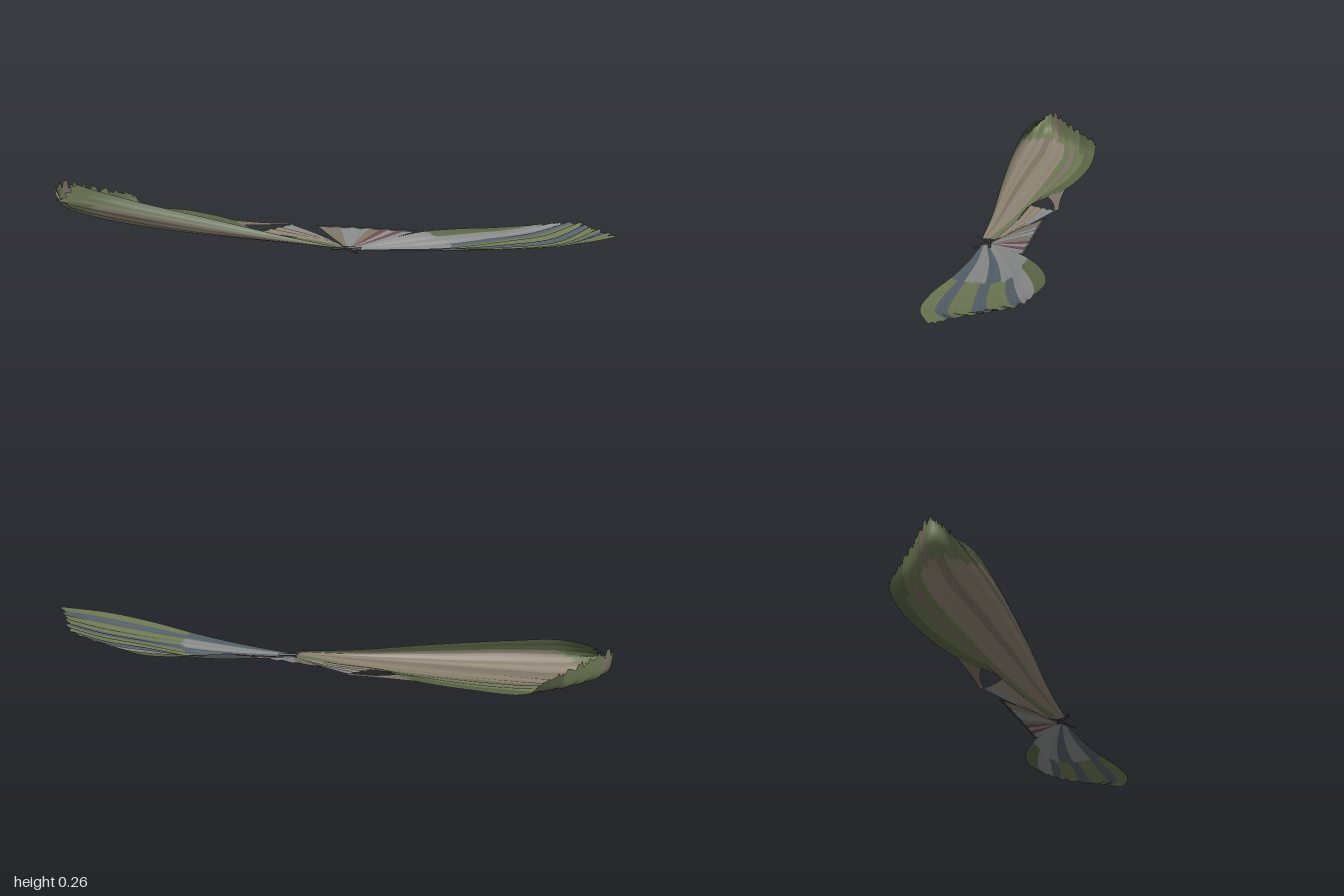
import * as THREE from 'three';

const V = (p) => new THREE.Vector3(...p);

// Point on a surface spanned by rails that run from root (v=0) to tip (v=1)
function makeSurface(rails, pleats, depth, rag) {
  const curves = rails.map((r) => new THREE.CatmullRomCurve3(r.map(V), false, 'centripetal'));
  return (u, v) => {
    const ragged = rag * (0.5 + 0.25 * Math.sin(u * 97) + 0.25 * Math.sin(u * 223 + 1));
    const t = v * (1 - ragged);
    const across = new THREE.CatmullRomCurve3(curves.map((c) => c.getPoint(t)), false, 'centripetal');
    const p = across.getPoint(u);
    p.y += depth * v * Math.sin(u * Math.PI * 2 * pleats) * Math.sin(u * Math.PI);
    return p;
  };
}

// One coloured patch of a surface
function patch(name, surface, [u0, u1], [v0, v1], color, nu = 16, nv = 28) {
  const pos = [], idx = [];
  for (let j = 0; j <= nv; j++) {
    for (let i = 0; i <= nu; i++) {
      const p = surface(u0 + ((u1 - u0) * i) / nu, v0 + ((v1 - v0) * j) / nv);
      pos.push(p.x, p.y, p.z);
      if (i < nu && j < nv) {
        const a = j * (nu + 1) + i, b = a + nu + 1;
        idx.push(a, a + 1, b, b, a + 1, b + 1);
      }
    }
  }
  const g = new THREE.BufferGeometry();
  g.setAttribute('position', new THREE.Float32BufferAttribute(pos, 3));
  g.setIndex(idx);
  g.computeVertexNormals();
  const m = new THREE.Mesh(g, new THREE.MeshStandardMaterial({ color, side: THREE.DoubleSide }));
  m.name = name;
  return m;
}

// Bands side by side across a surface: [uEnd, color]
function bands(name, surface, list, v = [0, 1]) {
  const group = new THREE.Group();
  group.name = name;
  let u = 0;
  list.forEach(([end, color], i) => {
    const n = Math.max(4, Math.round((end - u) * 80));
    group.add(patch(`${name}Band${i + 1}`, surface, [u, end], v, color, n));
    u = end;
  });
  return group;
}

export function createModel() {
  const model = new THREE.Group();
  model.name = 'twinFan';
  const green = 0x6c7653, olive = 0x5a6446, beige = 0x8d8272, taupe = 0x7a7263;
  const slate = 0x525e66, pale = 0x858887, dark = 0x3a3b3c, wine = 0x6d4650;

  // Long rear fan: rolled crest, outer belly, trough, middle, trailing edge; the tip turns up like a bowl
  const rear = makeSurface([
    [[0, 0.025, 0.14], [-0.2, 0.07, -0.08], [-0.41, 0.125, -0.29], [-0.68, 0.195, -0.58], [-0.81, 0.235, -0.76], [-0.86, 0.252, -0.94]],
    [[0, 0.02, 0.14], [-0.2, 0.045, -0.07], [-0.42, 0.08, -0.28], [-0.7, 0.13, -0.57], [-0.86, 0.16, -0.77], [-0.96, 0.18, -0.92]],
    [[0.01, 0.02, 0.13], [-0.17, 0.03, -0.09], [-0.38, 0.043, -0.33], [-0.63, 0.068, -0.64], [-0.78, 0.095, -0.84], [-0.9, 0.15, -0.97], [-0.91, 0.27, -0.985]],
    [[0.03, 0.02, 0.12], [-0.12, 0.03, -0.16], [-0.28, 0.05, -0.42], [-0.46, 0.08, -0.7], [-0.6, 0.1, -0.87], [-0.73, 0.125, -0.97], [-0.74, 0.235, -0.985]],
    [[0.05, 0.02, 0.1], [-0.06, 0.035, -0.1], [-0.18, 0.05, -0.28], [-0.2, 0.075, -0.5], [-0.32, 0.1, -0.75], [-0.49, 0.12, -0.95], [-0.52, 0.175, -0.985]],
  ], 11, 0.005, 0.06);
  model.add(bands('rearFan', rear, [
    [0.2, olive], [0.3, taupe], [0.46, beige], [0.52, taupe], [0.68, beige], [0.74, green], [0.79, taupe], [0.9, green], [1, olive],
  ], [0, 0.8]));
  model.add(bands('rearFanTip', rear, [[0.3, olive], [0.55, green], [0.62, taupe], [0.85, green], [1, olive]], [0.79, 1]));

  // Web beside the rear root
  const web = makeSurface([
    [[0.05, 0.02, 0.1], [-0.06, 0.035, -0.1], [-0.18, 0.05, -0.28]],
    [[0.05, 0.02, 0.1], [0, 0.04, -0.1], [-0.09, 0.06, -0.28]],
    [[0.05, 0.02, 0.1], [0.035, 0.045, -0.1], [0, 0.068, -0.29]],
  ], 4, 0.003, 0);
  model.add(bands('rootWeb', web, [[0.6, beige], [1, pale]]));

  // Narrow strap that closes the triangular opening
  const strap = makeSurface([
    [[-0.2, 0.065, -0.4], [-0.1, 0.065, -0.355], [0, 0.068, -0.28]],
    [[-0.21, 0.075, -0.52], [-0.11, 0.07, -0.41], [0.005, 0.07, -0.305]],
  ], 1, 0.002, 0);
  model.add(patch('strap', strap, [0, 1], [0, 1], taupe, 4, 12));

  // Broad front fan, its trailing edge meeting the side panel
  const front = makeSurface([
    [[0.03, 0.01, 0.16], [0.2, 0.025, 0.35], [0.34, 0.04, 0.53], [0.5, 0.065, 0.75], [0.66, 0.09, 0.91], [0.89, 0.13, 1.02]],
    [[0.04, 0.01, 0.15], [0.24, 0.02, 0.31], [0.41, 0.03, 0.47], [0.59, 0.045, 0.64], [0.76, 0.075, 0.78], [0.92, 0.138, 0.82]],
    [[0.05, 0.008, 0.14], [0.26, 0.008, 0.23], [0.44, 0.014, 0.33], [0.64, 0.05, 0.48], [0.8, 0.08, 0.58], [0.95, 0.135, 0.66]],
    [[0.06, 0.01, 0.13], [0.23, 0.04, 0.165], [0.4, 0.068, 0.2], [0.58, 0.075, 0.25], [0.71, 0.08, 0.33], [0.82, 0.1, 0.46]],
  ], 9, 0.006, 0.035);
  model.add(bands('frontFanRoot', front, [[0.2, slate], [0.45, pale], [0.6, slate], [1, pale]], [0, 0.45]));
  model.add(bands('frontFan', front, [
    [0.12, green], [0.22, slate], [0.4, green], [0.5, slate], [0.66, green], [0.74, slate], [0.88, pale], [1, olive],
  ], [0.44, 1]));

  // Raised triangular panel with dark red stripes
  const panel = makeSurface([
    [[0.05, 0.012, 0.13], [0.055, 0.045, -0.02], [0.07, 0.075, -0.18]],
    [[0.055, 0.012, 0.13], [0.14, 0.045, 0.07], [0.23, 0.078, 0.005]],
    [[0.06, 0.01, 0.13], [0.23, 0.04, 0.168], [0.4, 0.075, 0.203]],
  ], 6, 0.003, 0.02);
  model.add(bands('sidePanel', panel, [[0.25, taupe], [0.55, pale], [0.66, taupe], [0.74, wine], [0.82, pale], [0.9, wine], [1, pale]], [0, 0.93]));
  model.add(patch('sidePanelHem', panel, [0, 1], [0.92, 1], dark, 80, 3));

  // Small crossed stalks at the joint
  const stalks = [
    [[-0.035, 0.02, 0.135], [0.03, 0.02, 0.14]],
    [[0.045, 0.015, 0.12], [0.045, 0.008, 0.22]],
    [[0.03, 0.02, 0.12], [0.1, 0.015, 0.17]],
  ];
  stalks.forEach(([a, b], i) => {
    const tube = new THREE.TubeGeometry(new THREE.LineCurve3(V(a), V(b)), 2, 0.006, 6);
    const m = new THREE.Mesh(tube, new THREE.MeshStandardMaterial({ color: dark, side: THREE.DoubleSide }));
    m.name = `jointStalk${i + 1}`;
    model.add(m);
  });
  return model;
}
